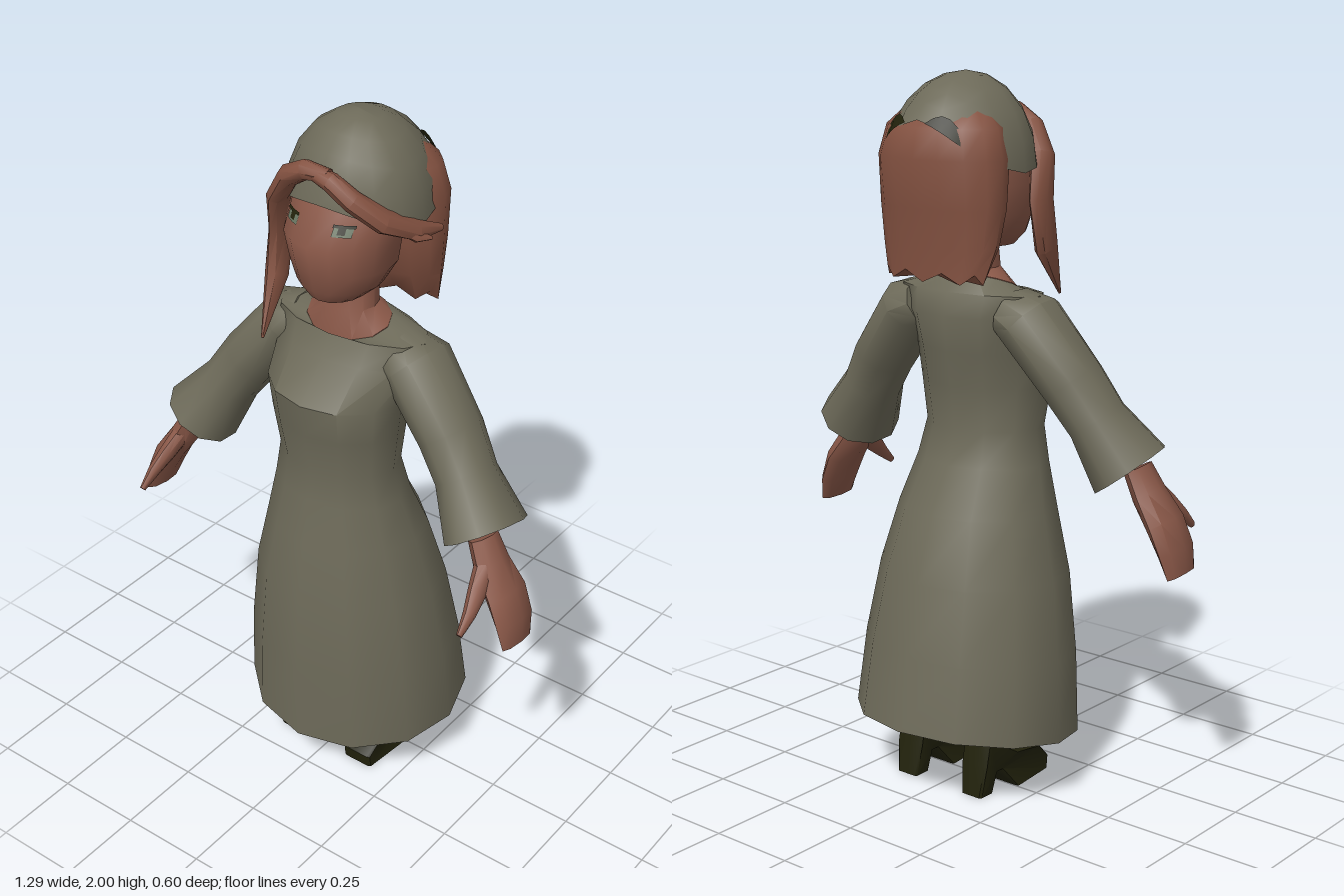
import * as THREE from 'three';
import { toCreasedNormals } from 'three/addons/utils/BufferGeometryUtils.js';

const V = (x, y, z) => new THREE.Vector3(x, y, z);

// Skin over a list of equal-length point loops, optionally capped at each end
function loft(rings, { capStart = false, capEnd = false, closed = true, crease = 0.8 } = {}) {
  const n = rings[0].length, pos = [], idx = [];
  rings.forEach(r => r.forEach(p => pos.push(p.x, p.y, p.z)));
  const cols = closed ? n : n - 1;
  for (let i = 0; i < rings.length - 1; i++) {
    for (let j = 0; j < cols; j++) {
      const k = (j + 1) % n, a = i * n + j, b = i * n + k, c = b + n, d = a + n;
      idx.push(a, b, c, a, c, d);
    }
  }
  const cap = (i, flip) => {
    const c = V(0, 0, 0);
    rings[i].forEach(p => c.addScaledVector(p, 1 / n));
    const m = pos.length / 3;
    pos.push(c.x, c.y, c.z);
    for (let j = 0; j < n; j++) {
      const a = i * n + j, b = i * n + (j + 1) % n;
      flip ? idx.push(m, b, a) : idx.push(m, a, b);
    }
  };
  if (capStart) cap(0, true);
  if (capEnd) cap(rings.length - 1, false);
  const g = new THREE.BufferGeometry();
  g.setAttribute('position', new THREE.Float32BufferAttribute(pos, 3));
  g.setIndex(idx);
  return toCreasedNormals(g, crease);
}

// Horizontal oval: [y, half width, front z, back z, front-to-back tilt]
const oval = ([y, rx, zf, zb, tilt = 0], n = 12) => Array.from({ length: n }, (_, j) => {
  const a = j / n * Math.PI * 2;
  return V(rx * Math.sin(a), y + tilt * Math.cos(a), (zf + zb) / 2 + (zf - zb) / 2 * Math.cos(a));
});
const stack = (rows, opt, n) => loft(rows.map(r => oval(r, n)), opt);

// Limb along a path of [x, y, z, thickness radius, depth radius]
function limb(rows, opt = {}, n = 8) {
  const c = rows.map(r => V(r[0], r[1], r[2]));
  return loft(rows.map((r, i) => {
    const d = c[Math.min(i + 1, c.length - 1)].clone().sub(c[Math.max(i - 1, 0)]).normalize();
    const u = V(0, 0, 1).addScaledVector(d, -d.z).normalize();
    const v = d.clone().cross(u);
    return Array.from({ length: n }, (_, j) => {
      const a = j / n * Math.PI * 2;
      return c[i].clone().addScaledVector(u, r[4] * Math.cos(a)).addScaledVector(v, r[3] * Math.sin(a));
    });
  }), { capStart: true, capEnd: true, ...opt });
}

// Head scarf surface: angle a from the front, elevation e
const scarfEdge = a => {
  const c = Math.cos(a);
  return Math.asin(((c > 0 ? 0.06 : 0.14) * c * c - 0.01) / 0.25);
};
const scarfPoint = (a, e, off = 0) => V(
  (0.203 + off) * Math.sin(a) * Math.cos(e),
  1.75 + (0.25 + off) * Math.sin(e),
  -0.01 + ((Math.cos(a) > 0 ? 0.178 : 0.232) + off) * Math.cos(a) * Math.cos(e));

export function createModel() {
  const model = new THREE.Group();
  const mat = (name, color, side = THREE.FrontSide) => {
    const m = new THREE.MeshStandardMaterial({ color, side });
    m.name = name;
    return m;
  };
  const cloth = mat('grey olive cloth', 0x6d6a59, THREE.DoubleSide);
  const skin = mat('skin', 0x8a5848);
  const hair = mat('brown hair', 0x845241);
  const dark = mat('dark leather', 0x22220c, THREE.DoubleSide);
  const eyeGreen = mat('eye green', 0x66735f, THREE.DoubleSide);
  const add = (parent, name, geo, material) => {
    const m = new THREE.Mesh(geo, material);
    m.name = name;
    parent.add(m);
    return m;
  };

  // Dress from hem to neckline
  add(model, 'dress', stack([
    [0.175, 0.333, 0.287, -0.302, -0.04], [0.40, 0.315, 0.287, -0.268, -0.02],
    [0.62, 0.282, 0.275, -0.22], [0.80, 0.235, 0.247, -0.16], [0.93, 0.20, 0.222, -0.09],
    [1.03, 0.18, 0.212, -0.06], [1.15, 0.195, 0.235, -0.075], [1.25, 0.205, 0.25, -0.092],
    [1.35, 0.22, 0.16, -0.107], [1.415, 0.235, 0.125, -0.09], [1.435, 0.126, 0.12, -0.05, -0.03],
  ]), cloth);

  // Neck and head
  add(model, 'neck', stack([
    [1.38, 0.12, 0.112, -0.04, -0.03], [1.437, 0.126, 0.119, -0.05, -0.03],
    [1.475, 0.075, 0.095, -0.045], [1.57, 0.07, 0.085, -0.05],
  ]), skin);
  add(model, 'head', stack([
    [1.53, 0.075, 0.165, -0.01], [1.565, 0.115, 0.186, -0.05], [1.62, 0.142, 0.197, -0.09],
    [1.70, 0.155, 0.213, -0.10], [1.79, 0.16, 0.156, -0.11], [1.88, 0.13, 0.12, -0.11],
  ], { capStart: true, capEnd: true, crease: 0.9 }, 16), skin);

  // Eyes: thin patches laid on the face
  const faceZ = (x, y) => {
    const zf = 0.156 + (1.79 - y) * 0.633, r = (zf + 0.105) / 2;
    return zf - r + r * Math.sqrt(1 - (x / 0.157) ** 2);
  };
  const patch = (cx, cy, w, h, off) => {
    const g = new THREE.PlaneGeometry(w, h, 4, 2).translate(cx, cy, 0), p = g.attributes.position;
    for (let i = 0; i < p.count; i++) p.setZ(i, faceZ(p.getX(i), p.getY(i)) + off);
    g.computeVertexNormals();
    return g;
  };
  for (const s of [-1, 1]) {
    add(model, 'eye', patch(s * 0.078, 1.749, 0.046, 0.024, 0.003), eyeGreen);
    add(model, 'iris', patch(s * 0.077, 1.752, 0.018, 0.018, 0.005), dark);
    add(model, 'eyelashes', patch(s * 0.08, 1.762, 0.052, 0.007, 0.006), dark);
  }

  // Hair at the back, with an uneven lower edge
  const hairRings = [
    [1.465, 0.165, -0.085, -0.19], [1.55, 0.188, -0.03, -0.197], [1.65, 0.20, 0.0, -0.21],
    [1.78, 0.202, 0.02, -0.228], [1.86, 0.18, 0.02, -0.212], [1.91, 0.13, 0.0, -0.16],
  ].map(r => oval(r, 16));
  hairRings[0].forEach((p, j) => { p.y += j % 2 ? 0.018 : -0.01; });
  add(model, 'backHair', loft(hairRings, { capStart: true, capEnd: true }), hair);

  // Parted fringe: a long lock on one side, a swept-back lock on the other
  add(model, 'longLock', limb([
    [0.03, 1.885, 0.155, 0.018, 0.02], [-0.04, 1.885, 0.16, 0.027, 0.027], [-0.10, 1.85, 0.15, 0.03, 0.032],
    [-0.155, 1.775, 0.125, 0.028, 0.04], [-0.183, 1.66, 0.085, 0.02, 0.05],
    [-0.178, 1.53, 0.115, 0.025, 0.04], [-0.15, 1.39, 0.215, 0.004, 0.004],
  ]), hair);
  add(model, 'sweptLock', limb([
    [-0.03, 1.885, 0.155, 0.018, 0.02], [0.04, 1.875, 0.162, 0.026, 0.026], [0.10, 1.835, 0.152, 0.028, 0.03],
    [0.16, 1.78, 0.105, 0.028, 0.035], [0.20, 1.735, 0.02, 0.022, 0.03], [0.218, 1.715, -0.065, 0.008, 0.01],
  ]), hair);
  add(model, 'lockTip', limb([
    [0.185, 1.745, 0.05, 0.015, 0.02], [0.21, 1.725, 0.03, 0.014, 0.02], [0.235, 1.715, 0.0, 0.004, 0.005],
  ]), hair);

  // Head scarf with its arched rear edge
  const sides = 16, rows = 5, scarf = [];
  for (let i = 0; i <= rows; i++) {
    scarf.push(Array.from({ length: sides }, (_, j) => {
      const a = j / sides * Math.PI * 2, e0 = scarfEdge(a);
      return scarfPoint(a, e0 + (Math.PI / 2 - e0) * Math.min(i / rows, 0.999));
    }));
  }
  add(model, 'headScarf', loft(scarf), cloth);
  for (const s of [-1, 1]) {
    const gap = [0, 1].map(top => Array.from({ length: 7 }, (_, j) => {
      const a = s * 2.6 + (j / 6 - 0.5) * 0.72;
      return scarfPoint(a, scarfEdge(a) - 0.03 + top * 0.2 * Math.sin(j / 6 * Math.PI), 0.008);
    }));
    add(model, 'scarfGap', loft(gap, { closed: false }), dark);
  }

  // Arms and legs, mirrored
  const shoeShape = new THREE.Shape([
    [0.155, 0], [0.16, 0.038], [0.11, 0.085], [0.05, 0.098], [0, 0.105], [-0.035, 0.135], [-0.06, 0.185],
    [-0.10, 0.165], [-0.115, 0.09], [-0.128, 0], [-0.082, 0], [-0.072, 0.065], [-0.045, 0.065], [0.005, 0],
  ].map(p => new THREE.Vector2(...p)));
  for (const s of [1, -1]) {
    const half = new THREE.Group();
    half.name = s > 0 ? 'leftLimbs' : 'rightLimbs';
    half.scale.x = s;
    model.add(half);
    add(half, 'sleeve', limb([
      [0.15, 1.365, 0.01, 0.07, 0.09], [0.205, 1.345, 0.012, 0.088, 0.108], [0.335, 1.19, 0.035, 0.086, 0.098],
      [0.40, 1.095, 0.055, 0.082, 0.092], [0.488, 0.968, 0.085, 0.11, 0.125],
    ], {}, 10), cloth);
    add(half, 'hand', limb([
      [0.495, 0.97, 0.11, 0.034, 0.05], [0.53, 0.90, 0.117, 0.04, 0.06], [0.58, 0.83, 0.12, 0.038, 0.076],
      [0.612, 0.76, 0.125, 0.03, 0.078], [0.628, 0.695, 0.13, 0.016, 0.066],
    ]), skin);
    add(half, 'thumb', limb([
      [0.525, 0.91, 0.14, 0.028, 0.03], [0.54, 0.86, 0.195, 0.024, 0.03],
      [0.55, 0.82, 0.245, 0.018, 0.02], [0.553, 0.78, 0.295, 0.008, 0.01],
    ]), skin);
    const leg = stack([
      [0.06, 0.042, 0.09, -0.03], [0.12, 0.044, 0.062, -0.05], [0.18, 0.045, 0.025, -0.085],
      [0.30, 0.056, 0.03, -0.09], [0.60, 0.07, 0.07, -0.08],
    ], { capStart: true, capEnd: true }, 10);
    add(half, 'leg', leg.translate(0.12, 0, 0), skin);

    // Heeled shoe: profile extruded across, narrowed at the toe and heel
    const shoe = new THREE.ExtrudeGeometry(shoeShape, {
      depth: 0.104, steps: 2, bevelEnabled: true, bevelSize: 0.005, bevelThickness: 0.01, bevelSegments: 1,
    }).translate(0, 0, -0.052).rotateY(-Math.PI / 2);
    const p = shoe.attributes.position;
    for (let i = 0; i < p.count; i++) {
      const z = p.getZ(i), y = p.getY(i);
      const k = z > 0.06 ? 1 - (z - 0.06) * 2.5 : z < -0.03 ? 0.72 - (y < 0.06 ? 0.15 : 0) : 1;
      p.setXYZ(i, p.getX(i) * k + 0.12, Math.max(y, 0), z);
    }
    // Rotation turned the profile's x axis into +z
    shoe.deleteAttribute('uv');
    add(half, 'shoe', toCreasedNormals(shoe, 0.7), dark);
  }
  return model;
}
